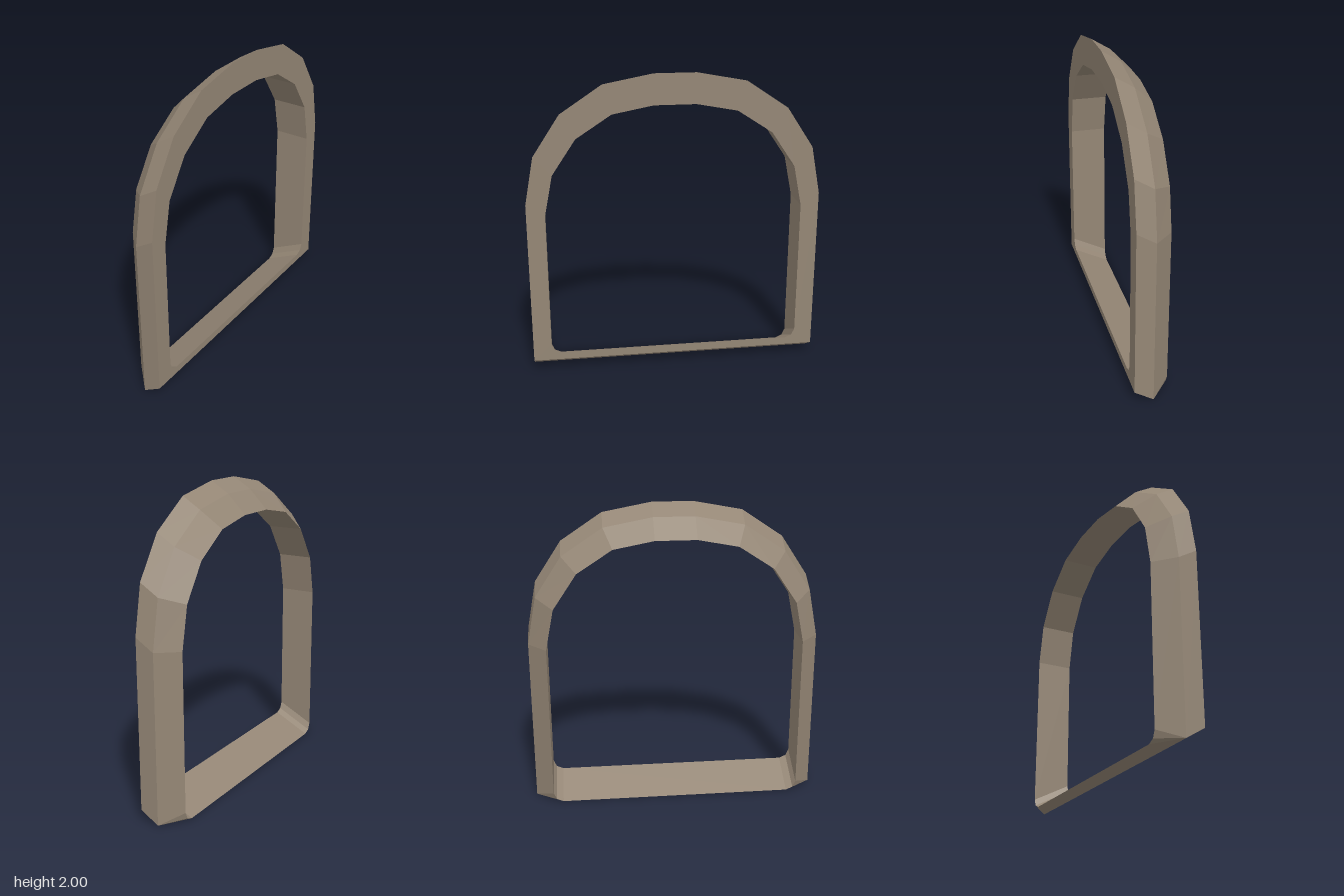
import * as THREE from 'three';

// Half outlines as [z, y], from the bottom corner up to the crown
const ARCH_INNER = [[0.84, 1.1], [0.785, 1.37], [0.63, 1.6], [0.4, 1.75], [0.135, 1.8]];
const ARCH_OUTER = [[0.96, 1.18], [0.9, 1.495], [0.725, 1.76], [0.455, 1.94], [0.135, 2.0]];

// Mirrors a half outline into a closed loop at the given x
function ring(x, half) {
  const mirrored = half.map(([z, y]) => [-z, y]).reverse();
  return [...half, ...mirrored].map(([z, y]) => new THREE.Vector3(x, y, z));
}

// Opening: arch with small cut corners at the sill
const inner = (x, sill) => ring(x, [
  [0.775, sill], [0.82, sill + 0.02], [0.84, sill + 0.065], ...ARCH_INNER,
]);

// Outside: arch with square lower corners (repeated to match the opening's count)
const outer = (x, drop) => ring(x, [
  ...Array(3).fill([0.96, 0.075]), ...ARCH_OUTER,
].map(([z, y]) => [z, y - drop]));

// Skins consecutive rings, closing both ways and skipping collapsed triangles
function skin(rings) {
  const pos = [];
  const tri = (a, b, c) => {
    const area = b.clone().sub(a).cross(c.clone().sub(a)).length();
    if (area > 1e-7) for (const p of [a, b, c]) pos.push(p.x, p.y, p.z);
  };
  rings.forEach((A, k) => {
    const B = rings[(k + 1) % rings.length];
    for (let i = 0; i < A.length; i++) {
      const j = (i + 1) % A.length;
      tri(A[i], A[j], B[i]);
      tri(A[j], B[j], B[i]);
    }
  });
  const geo = new THREE.BufferGeometry();
  geo.setAttribute('position', new THREE.Float32BufferAttribute(pos, 3));
  geo.computeVertexNormals();
  return geo;
}

export function createModel() {
  const group = new THREE.Group();
  group.name = 'archedFrame';

  const stone = new THREE.MeshStandardMaterial({ color: 0x948675 });
  stone.name = 'warm stone';
  stone.flatShading = true;

  // Flat face, outer band, then a bevel running to a thin edge around the opening
  const frame = new THREE.Mesh(skin([
    inner(0.123, 0.125),
    outer(0.123, 0),
    outer(0, 0.075),
    inner(-0.123, 0),
  ]), stone);
  frame.name = 'frame';
  group.add(frame);
  return group;
}
